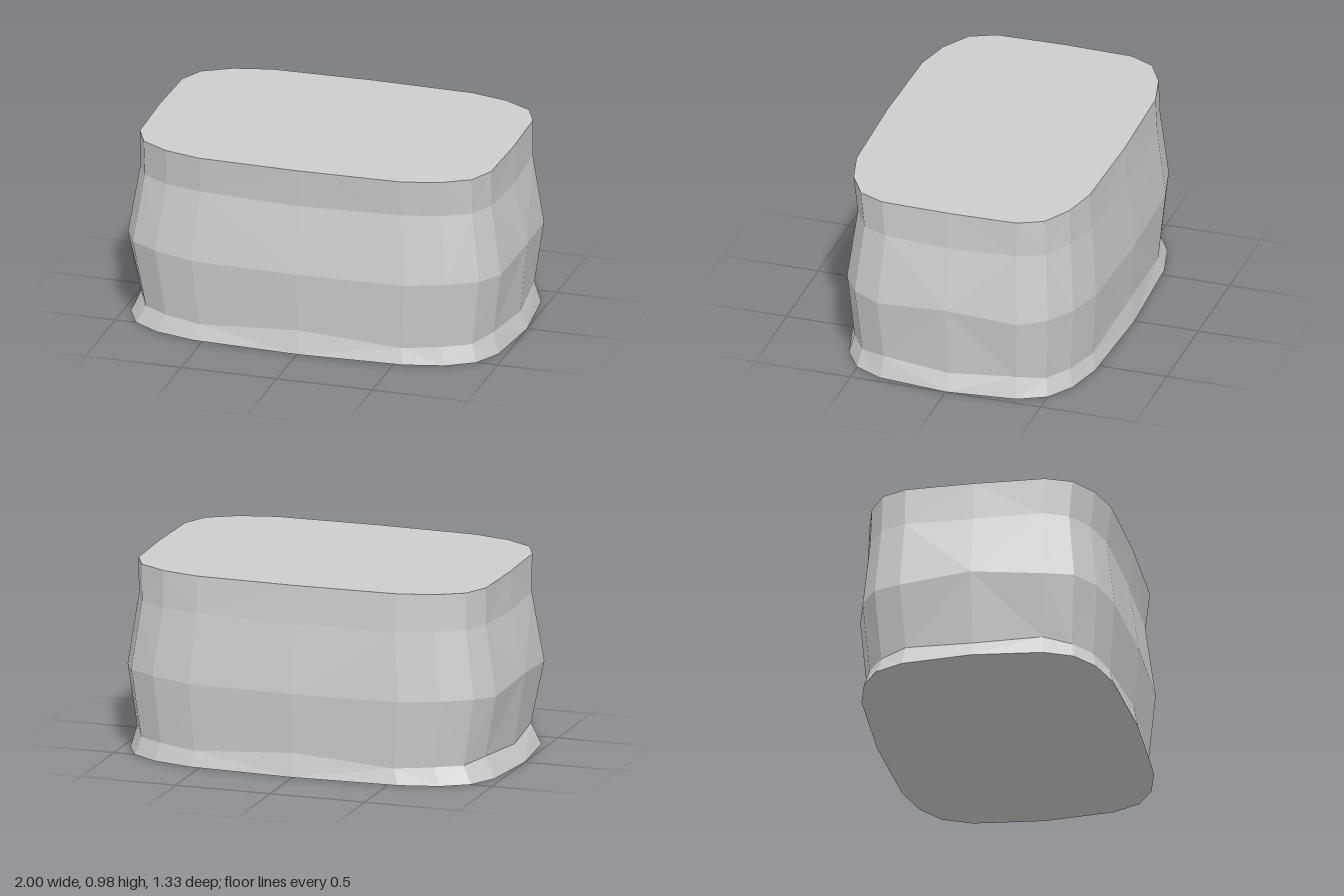
import * as THREE from 'three';

// Quarter outline from the side middle to the front middle, as fractions of the half sizes
const LOWER = [[1, 0], [0.962, 0.54], [0.89, 0.755], [0.755, 0.885], [0.55, 0.963], [0, 1]];
const UPPER = [[1, 0], [0.99, 0.565], [0.925, 0.77], [0.77, 0.905], [0.565, 0.98], [0, 1]];

// Height, then extents to +x, -x, +z, -z for each ring, and the height change per outline point
const RINGS = [
  { y: 0, ext: [1, 1, 0.665, 0.665], dy: [0, 0, 0, 0, 0, 0] },
  { y: 0.09, ext: [0.965, 0.945, 0.64, 0.64], dy: [0, 0.02, 0, 0, -0.01, 0.03] },
  { y: 0.44, ext: [1, 1, 0.667, 0.665], dy: [0.02, -0.01, 0, 0, -0.01, -0.01] },
  { y: 0.79, ext: [0.935, 0.93, 0.615, 0.627], dy: [-0.01, 0, 0, 0, 0, -0.01] },
  { y: 0.98, ext: [0.932, 0.923, 0.637, 0.616], dy: [0, 0, 0, 0, 0, 0] },
];
const N = 20;

// Index within the mirrored quarter outline
const quarter = (i) => {
  const m = i % 10;
  return m <= 5 ? m : 10 - m;
};

function ringPoint(i, j) {
  i = (i + N) % N;
  const { y, ext, dy } = RINGS[j];
  const k = quarter(i);
  const t = y / 0.98;
  const fx = THREE.MathUtils.lerp(LOWER[k][0], UPPER[k][0], t);
  const fz = THREE.MathUtils.lerp(LOWER[k][1], UPPER[k][1], t);
  const x = i < 5 || i > 15 ? fx * ext[0] : -fx * ext[1];
  const z = i < 10 ? fz * ext[2] : -fz * ext[3];
  return [x, y + dy[k], z];
}

function geometryFrom(triangles) {
  const geometry = new THREE.BufferGeometry();
  geometry.setAttribute('position', new THREE.Float32BufferAttribute(triangles.flat(2), 3));
  geometry.computeVertexNormals();
  return geometry;
}

// Faceted wall with zigzag diagonals
function wallGeometry() {
  const tris = [];
  for (let j = 0; j < RINGS.length - 1; j++) {
    for (let i = 0; i < N; i++) {
      const a = ringPoint(i, j), b = ringPoint(i + 1, j);
      const c = ringPoint(i + 1, j + 1), d = ringPoint(i, j + 1);
      const column = Math.min(quarter(i), quarter(i + 1));
      const parity = column === 0 ? 0 : 1;
      if ((quarter(i) + j) % 2 === parity) tris.push([a, d, c], [a, c, b]);
      else tris.push([a, d, b], [d, c, b]);
    }
  }
  return geometryFrom(tris);
}

// Flat cap as a fan about the centre
function capGeometry(j, up) {
  const tris = [];
  const centre = [0, RINGS[j].y, 0];
  for (let i = 0; i < N; i++) {
    const a = ringPoint(i, j), b = ringPoint(i + 1, j);
    tris.push(up ? [centre, b, a] : [centre, a, b]);
  }
  return geometryFrom(tris);
}

export function createModel() {
  const stone = new THREE.MeshStandardMaterial({ color: 0xcccccc, flatShading: true });
  stone.name = 'pale grey stone';

  const group = new THREE.Group();
  group.name = 'stoneBlock';
  const add = (name, geometry) => {
    const mesh = new THREE.Mesh(geometry, stone);
    mesh.name = name;
    group.add(mesh);
  };
  add('wall', wallGeometry());
  add('topFace', capGeometry(RINGS.length - 1, true));
  add('bottomFace', capGeometry(0, false));
  return group;
}
